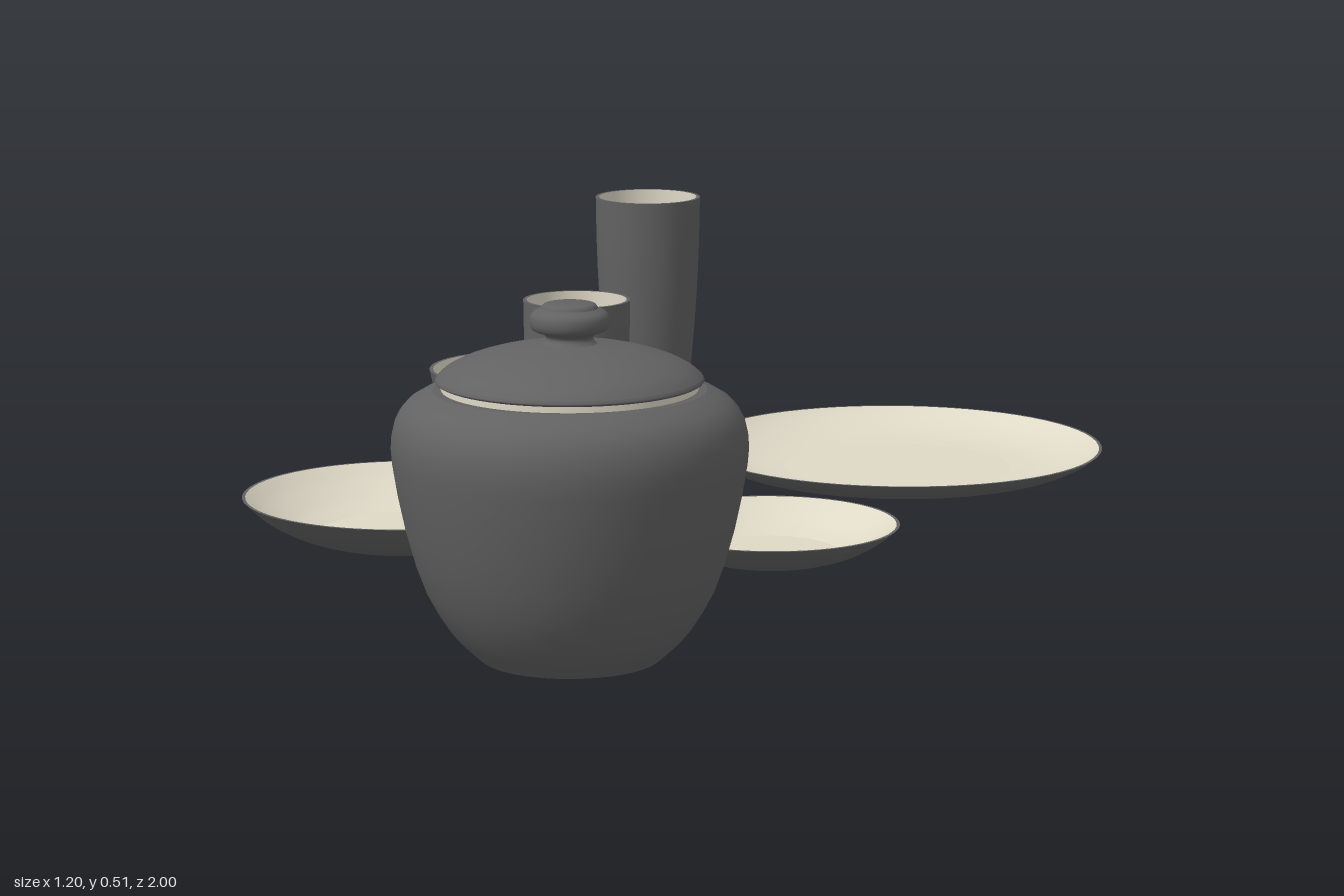
import * as THREE from 'three';
import { mergeGeometries } from 'three/addons/utils/BufferGeometryUtils.js';

const glaze = new THREE.MeshStandardMaterial({ color: 0x626262 });
glaze.name = 'grey glaze';
const cream = new THREE.MeshStandardMaterial({ color: 0xded8c6 });
cream.name = 'cream lining';

const SEGMENTS = 64;

// Smooth curve through [radius, height] pairs
function curve(points, steps = 16) {
  if (points.length < 3) return points.map(([r, y]) => new THREE.Vector2(r, y));
  return new THREE.SplineCurve(points.map(([r, y]) => new THREE.Vector2(r, y))).getPoints(steps);
}

// Each piece is turned on its own, so the joints between pieces stay sharp
function turned(name, material, pieces) {
  const parts = pieces.map((p) => new THREE.LatheGeometry(curve(p), SEGMENTS));
  const mesh = new THREE.Mesh(mergeGeometries(parts), material);
  mesh.name = name;
  return mesh;
}

// Open vessel: grey outside and lip, cream wall and floor inside
function vessel(name, x, z, outer, inner) {
  const group = new THREE.Group();
  group.name = name;
  group.position.set(x, 0, z);
  const foot = outer[0];
  const rim = outer[outer.length - 1];
  const floor = inner[inner.length - 1];
  group.add(
    turned(name + 'Outside', glaze, [[[0, foot[1]], foot], outer, [rim, inner[0]]]),
    turned(name + 'Inside', cream, [inner, [floor, [0, floor[1]]]])
  );
  return group;
}

export function createModel() {
  const model = new THREE.Group();
  model.name = 'tableware';

  // Plates
  model.add(vessel('dinnerPlate', 0.257, -0.507,
    [[0.19, 0.025], [0.24, 0.029], [0.29, 0.041], [0.325, 0.058], [0.34, 0.07]],
    [[0.335, 0.07], [0.318, 0.06], [0.285, 0.047], [0.24, 0.037], [0.19, 0.033]]));
  model.add(vessel('soupPlate', -0.342, 0.194,
    [[0.14, 0.02], [0.182, 0.034], [0.225, 0.058], [0.257, 0.087]],
    [[0.252, 0.087], [0.222, 0.064], [0.18, 0.041], [0.138, 0.028]]));
  model.add(vessel('saucer', 0.238, 0.148,
    [[0.105, 0.022], [0.14, 0.034], [0.172, 0.052], [0.198, 0.073]],
    [[0.193, 0.073], [0.169, 0.058], [0.138, 0.041], [0.102, 0.03]]));

  // Bowl
  model.add(vessel('bowl', -0.318, -0.29,
    [[0.1, 0.014], [0.118, 0.055], [0.138, 0.105], [0.154, 0.155], [0.165, 0.204]],
    [[0.159, 0.204], [0.148, 0.155], [0.132, 0.105], [0.112, 0.058], [0.093, 0.024]]));

  // Tumbler
  model.add(vessel('tumbler', -0.32, -0.907,
    [[0.062, 0.018], [0.069, 0.032], [0.078, 0.11], [0.086, 0.21], [0.091, 0.31], [0.093, 0.406]],
    [[0.087, 0.406], [0.085, 0.31], [0.08, 0.21], [0.072, 0.11], [0.063, 0.03]]));

  // Mug with a handle facing the front
  const mug = vessel('mug', -0.363, -0.65,
    [[0.072, 0.018], [0.078, 0.035], [0.086, 0.09], [0.091, 0.16], [0.093, 0.259]],
    [[0.087, 0.259], [0.085, 0.16], [0.08, 0.09], [0.07, 0.03]]);
  const path = new THREE.CatmullRomCurve3(
    [[0.235, 0.09], [0.236, 0.118], [0.218, 0.139], [0.185, 0.144], [0.145, 0.134], [0.113, 0.112], [0.102, 0.086]]
      .map(([y, z]) => new THREE.Vector3(0, y, z)));
  const handle = new THREE.Mesh(new THREE.TubeGeometry(path, 32, 0.007, 12), glaze);
  handle.name = 'mugHandle';
  mug.add(handle);
  model.add(mug);

  // Lidded pot
  const pot = vessel('pot', 0.13, 0.75,
    [[0.127, 0], [0.155, 0.025], [0.18, 0.057], [0.208, 0.11], [0.232, 0.19], [0.248, 0.275],
      [0.25, 0.315], [0.242, 0.347], [0.222, 0.371], [0.192, 0.385]],
    [[0.18, 0.385], [0.225, 0.34], [0.236, 0.29], [0.218, 0.19], [0.17, 0.07], [0.12, 0.015]]);
  pot.add(turned('potSeat', cream, [[[0.18, 0.383], [0.18, 0.395]]]));

  // Lid dome and knob
  pot.add(turned('lid', glaze, [
    [[0, 0.394], [0.183, 0.394]],
    [[0.183, 0.394], [0.188, 0.397], [0.186, 0.402]],
    [[0.186, 0.402], [0.172, 0.414], [0.145, 0.427], [0.105, 0.439], [0.065, 0.446], [0.035, 0.45]],
  ]));
  pot.add(turned('lidKnob', glaze, [
    [[0.04, 0.448], [0.033, 0.456], [0.037, 0.463], [0.052, 0.469], [0.056, 0.48],
      [0.053, 0.492], [0.04, 0.499]],
    [[0.04, 0.499], [0.035, 0.505], [0.02, 0.507], [0, 0.507]],
  ]));
  model.add(pot);

  return model;
}
